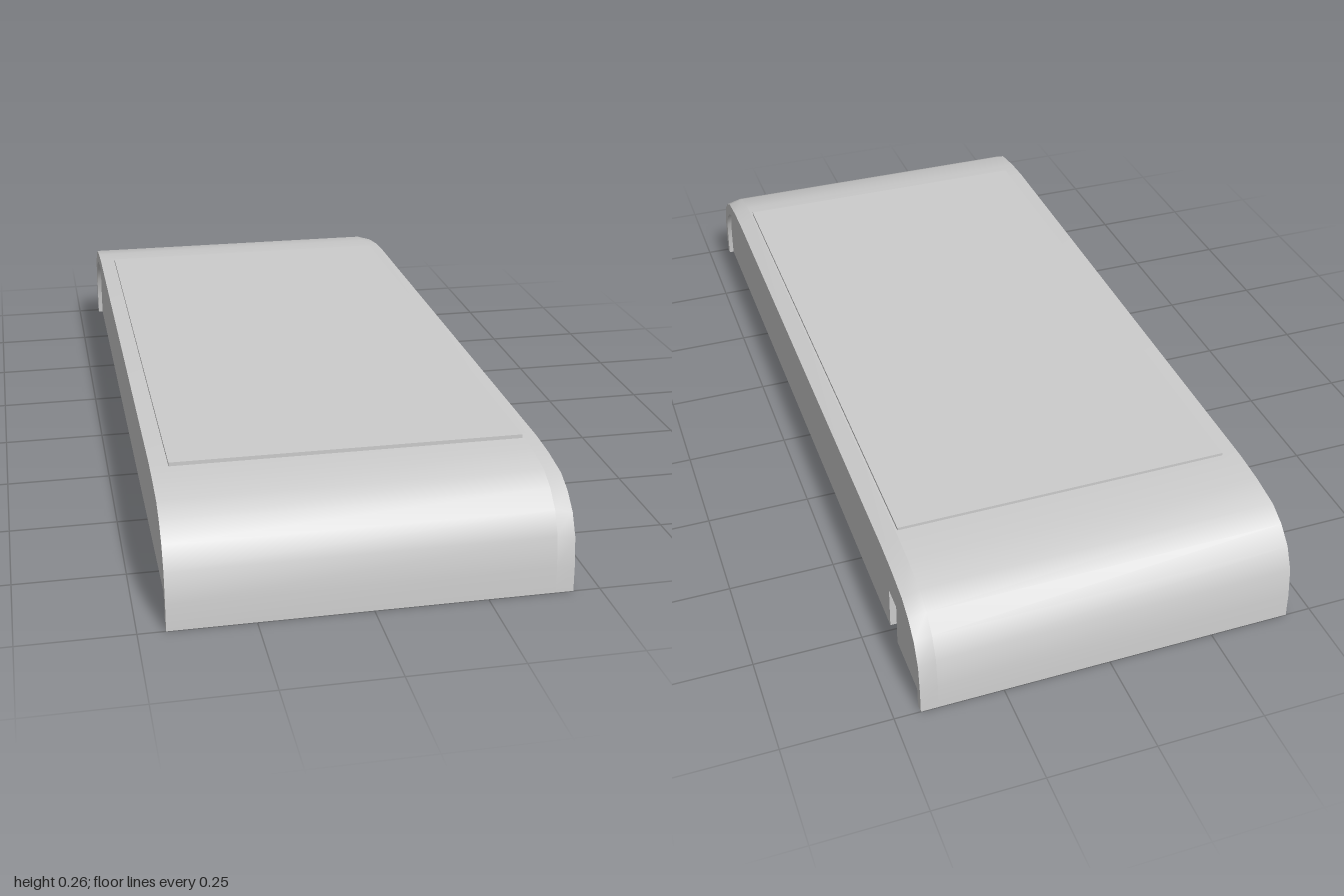
import * as THREE from 'three';
import { toCreasedNormals } from 'three/addons/utils/BufferGeometryUtils.js';

const material = new THREE.MeshStandardMaterial({ color: 0xcccccc, side: THREE.DoubleSide });

// Half of the rounded end: [z, y] from the foot up to the flat top
const END = [[1, 0], [0.997, 0.06], [0.987, 0.13], [0.962, 0.18], [0.925, 0.215], [0.88, 0.238], [0.8, 0.25], [0.72, 0.255]];
const INNER = END.map(([z, y]) => [z - 0.02, Math.max(0, y * 0.88)]);

// Full arch from front foot to back foot
const arch = (half) => [...half, ...half.map(([z, y]) => [-z, y]).reverse()];

// Extrudes a [z, y] outline along x between x0 and x1
function extrudeX(outline, x0, x1) {
  const shape = new THREE.Shape(outline.map(([z, y]) => new THREE.Vector2(-z, y)));
  const geometry = new THREE.ExtrudeGeometry(shape, { depth: x1 - x0, bevelEnabled: false });
  geometry.rotateY(Math.PI / 2);
  geometry.translate(x0, 0, 0);
  return geometry;
}

export function createModel() {
  const group = new THREE.Group();
  const add = (name, geometry) => {
    const mesh = new THREE.Mesh(toCreasedNormals(geometry, 0.6), material);
    mesh.name = name;
    group.add(mesh);
    return mesh;
  };

  // Arched cover, its sides standing slightly proud of the core
  const band = [...arch(END), ...arch(INNER).reverse()];
  add('cover', extrudeX(band, -0.44, 0.4));

  // Cover edge on the socket side, sloping down towards the outside
  const edge = extrudeX(band, 0.4, 0.44);
  const p = edge.attributes.position;
  for (let i = 0; i < p.count; i++) {
    if (p.getX(i) > 0.43) p.setY(i, p.getY(i) * 0.95);
  }
  edge.computeVertexNormals();
  add('coverEdge', edge);

  // Solid core, with a side wall that is notched at the bottom for the socket
  add('core', extrudeX(arch(INNER), -0.428, 0.385));
  const notch = [[-0.79, 0], [-0.79, 0.11], [-0.735, 0.11], [-0.735, 0]];
  add('socketWall', extrudeX([...arch(INNER), ...notch], 0.385, 0.428));

  // Power socket inside the notch
  const ring = add('socketRing', new THREE.TorusGeometry(0.015, 0.005, 8, 20));
  ring.rotation.y = Math.PI / 2;
  ring.position.set(0.388, 0.065, -0.7625);
  const pin = add('socketPin', new THREE.CylinderGeometry(0.005, 0.005, 0.02, 12));
  pin.rotation.z = Math.PI / 2;
  pin.position.set(0.393, 0.065, -0.7625);

  // Raised top panel
  const panel = add('topPanel', new THREE.BoxGeometry(0.795, 0.022, 1.455));
  panel.position.set(-0.002, 0.251, 0.022);

  return group;
}
